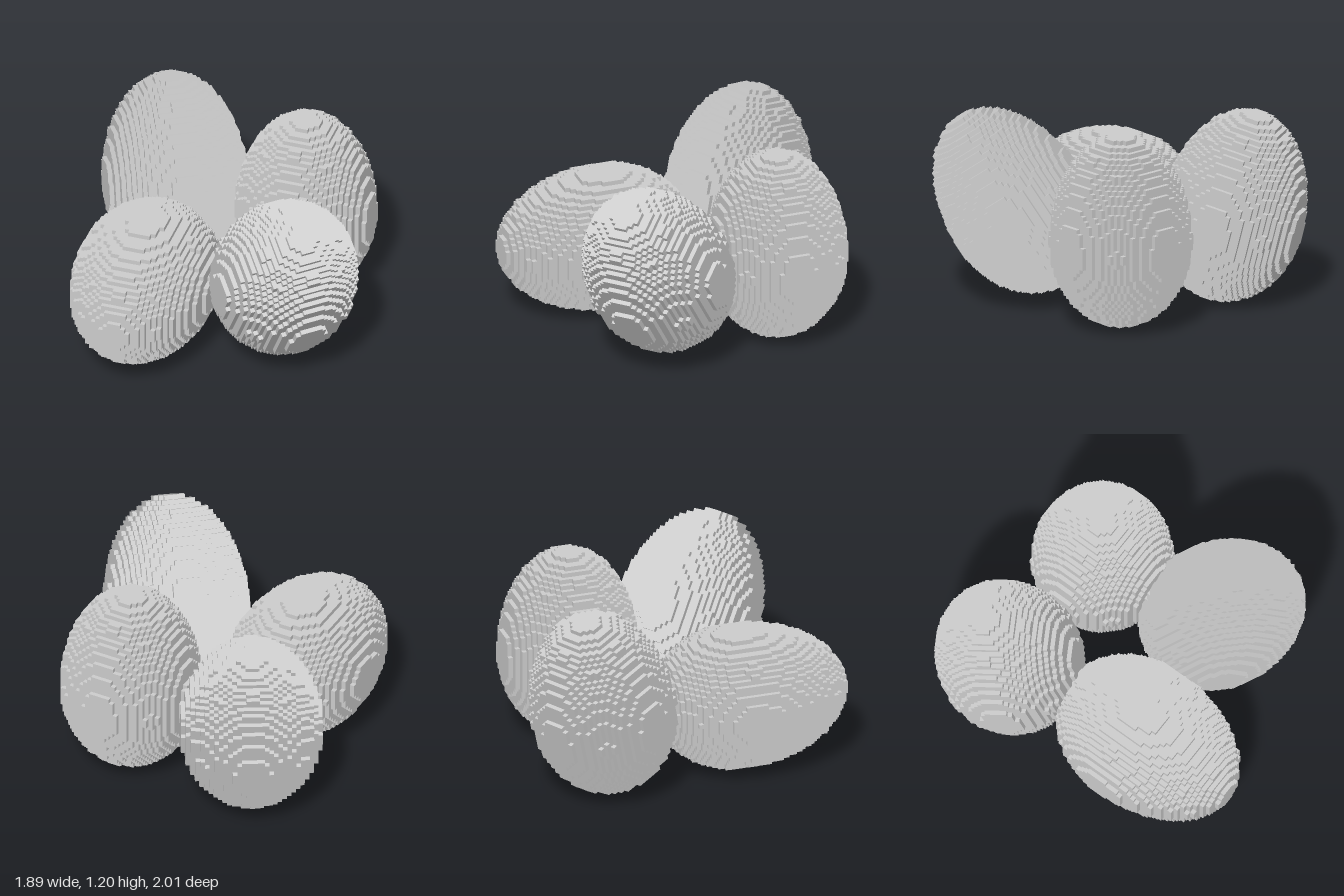
import * as THREE from 'three';

const V = 0.0275;      // cube size
const R = 0.43;        // egg radius at its widest
const BLUNT = 0.515;   // half length towards the blunt end
const POINT = 0.675;   // half length towards the pointed end

// True when the cube at grid position i, j, k lies inside the egg (y is its axis)
function inside(i, j, k) {
  const t = (j * V) / (j < 0 ? BLUNT : POINT);
  return (i * i + k * k) * V * V / (R * R) + t * t <= 1;
}

// Stepped egg made of cubes: only the exposed cube faces are emitted
function eggGeometry() {
  const pos = [], nor = [];
  const corners = [[-1, -1], [1, -1], [1, 1], [-1, -1], [1, 1], [-1, 1]];
  const n = Math.ceil(R / V), lo = -Math.ceil(BLUNT / V), hi = Math.ceil(POINT / V);
  for (let i = -n; i <= n; i++)
    for (let j = lo; j <= hi; j++)
      for (let k = -n; k <= n; k++) {
        if (!inside(i, j, k)) continue;
        const c = [i, j, k];
        for (let axis = 0; axis < 3; axis++)
          for (const s of [-1, 1]) {
            const next = [...c];
            next[axis] += s;
            if (inside(...next)) continue;
            const a = (axis + 1) % 3, b = (axis + 2) % 3;
            const normal = [0, 0, 0];
            normal[axis] = s;
            for (const [u, w] of corners) {
              const p = [...c];
              p[axis] += s / 2;
              p[a] += (u * s) / 2;
              p[b] += w / 2;
              pos.push(p[0] * V, p[1] * V, p[2] * V);
              nor.push(...normal);
            }
          }
      }
  const g = new THREE.BufferGeometry();
  g.setAttribute('position', new THREE.Float32BufferAttribute(pos, 3));
  g.setAttribute('normal', new THREE.Float32BufferAttribute(nor, 3));
  return g;
}

export function createModel() {
  const group = new THREE.Group();
  group.name = 'eggCluster';
  const geometry = eggGeometry();
  const material = new THREE.MeshStandardMaterial({ color: 0xcccccc });

  // Each egg: centre, then pitch, yaw and roll in degrees, then scale
  const eggs = [
    { name: 'lyingEgg', at: [-0.375, 0.44, 0.325], turn: [90, 0, 0], scale: [1, 1, 1] },
    { name: 'uprightEgg', at: [0.355, 0.525, -0.5], turn: [0, 0, 0], scale: [0.973, 0.985, 0.973] },
    { name: 'backTiltedEgg', at: [-0.49, 0.525, -0.55], turn: [-14, 30, 0], scale: [1, 1, 1] },
    { name: 'frontTiltedEgg', at: [0.465, 0.57, 0.28], turn: [34, 42, 3], scale: [1, 1, 1] },
  ];
  for (const e of eggs) {
    const mesh = new THREE.Mesh(geometry, material);
    mesh.name = e.name;
    mesh.position.set(...e.at);
    mesh.rotation.set(...e.turn.map(THREE.MathUtils.degToRad), 'YXZ');
    mesh.scale.set(...e.scale);
    group.add(mesh);
  }
  return group;
}
